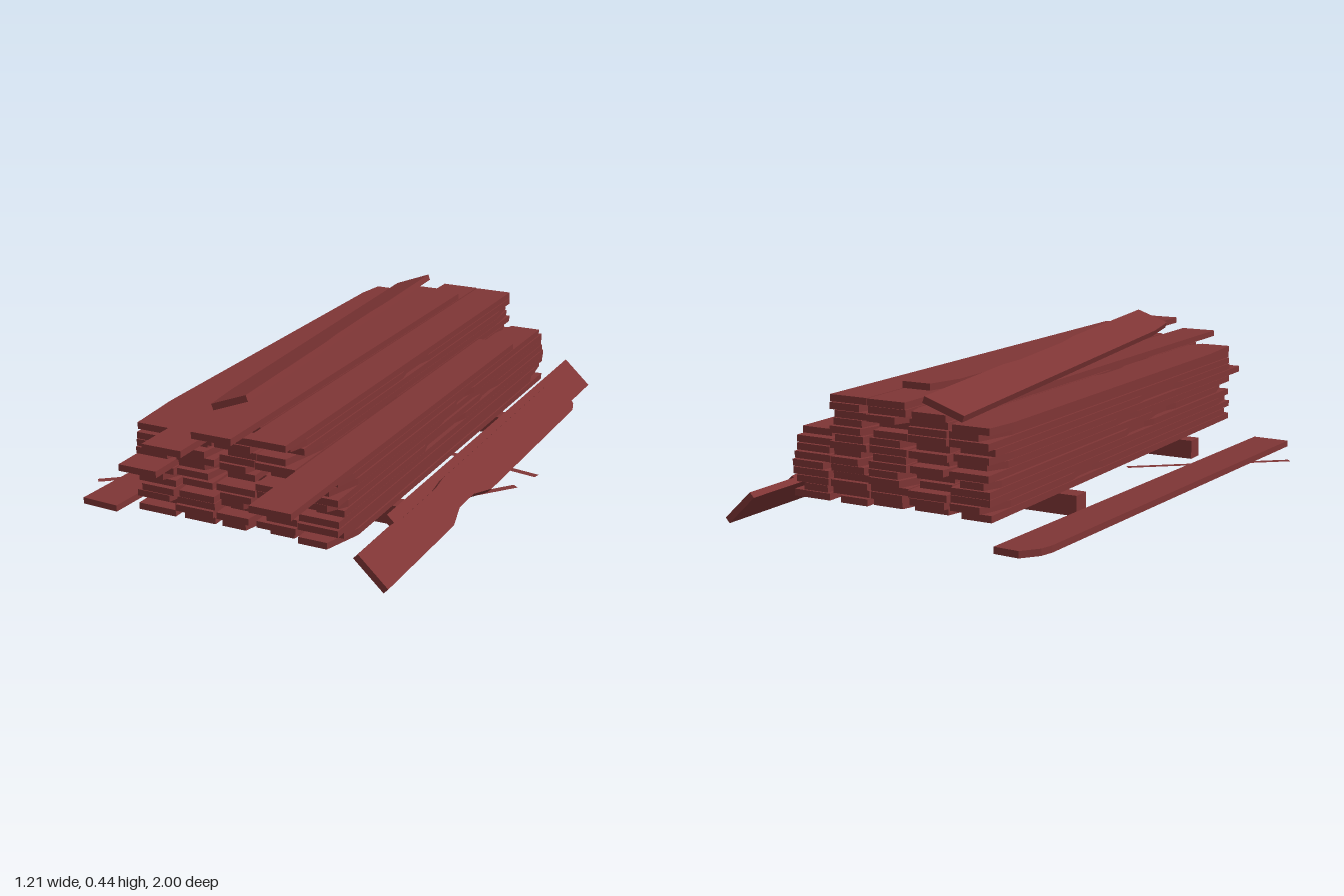
import * as THREE from 'three';

// small seeded generator for wear and uneven ends
function seeded(seed) {
  let s = seed;
  return () => {
    s = (s * 16807) % 2147483647;
    return s / 2147483647;
  };
}

const T = 0.0196; // plank thickness
const PITCH = 0.0216; // layer spacing

export function createModel() {
  const group = new THREE.Group();
  group.name = 'plankPile';
  const rand = seeded(421);

  const wood = new THREE.MeshStandardMaterial({ color: 0x7f3535, flatShading: true });
  wood.name = 'red brown wood';
  const thinWood = new THREE.MeshStandardMaterial({ color: 0x7f3535, side: THREE.DoubleSide });
  thinWood.name = 'red brown splinter';

  // Plank outline: each side is a list of [z, inset] points running back to front
  function plankGeometry(w, len, right = [], left = []) {
    const full = (side) => {
      const pts = side.slice();
      if (!pts.length || pts[0][0] > -len / 2) pts.unshift([-len / 2, 0]);
      if (pts[pts.length - 1][0] < len / 2) pts.push([len / 2, 0]);
      return pts;
    };
    const r = full(right).map(([z, d]) => new THREE.Vector2(w / 2 - d, z));
    const l = full(left).map(([z, d]) => new THREE.Vector2(-w / 2 + d, z)).reverse();
    const geo = new THREE.ExtrudeGeometry(new THREE.Shape([...r, ...l]), { depth: T, bevelEnabled: false });
    geo.translate(0, 0, -T / 2);
    geo.rotateX(Math.PI / 2);
    return geo;
  }

  function add(name, geo, pos, along, across) {
    const mesh = new THREE.Mesh(geo, wood);
    mesh.name = name;
    mesh.position.set(...pos);
    if (along) {
      const z = new THREE.Vector3(...along).normalize();
      const y = z.clone().cross(new THREE.Vector3(...across)).normalize();
      const x = y.clone().cross(z);
      mesh.quaternion.setFromRotationMatrix(new THREE.Matrix4().makeBasis(x, y, z));
    }
    group.add(mesh);
    return mesh;
  }

  // Random worn side: clipped corners and a long shallow bite
  function wornSide(len) {
    const h = len / 2;
    const pts = [];
    if (rand() < 0.3) pts.push([-h, 0.008 + rand() * 0.025], [-h + 0.04 + rand() * 0.1, 0]);
    if (rand() < 0.3) {
      const a = (rand() - 0.6) * 0.7;
      const b = a + 0.15 + rand() * 0.2;
      const d = 0.006 + rand() * 0.012;
      pts.push([a, 0], [a + 0.05, d], [b - 0.05, d], [b, 0]);
    }
    if (rand() < 0.45) pts.push([h - 0.05 - rand() * 0.15, 0], [h, 0.008 + rand() * 0.03]);
    return pts;
  }

  // Stacked columns: centre x, number of layers, back and front of the top plank
  const columns = [
    { x: -0.217, layers: 12, top: [-0.86, 0.72] },
    { x: -0.09, layers: 13, top: [-0.86, 0.9] },
    { x: 0.041, layers: 15, top: [-0.69, 0.86] },
    { x: 0.167, layers: 14, top: [-0.855, 0.79] },
    { x: 0.295, layers: 10, top: [-0.56, 1.0] },
  ];
  columns.forEach(({ x, layers, top }, c) => {
    for (let i = 0; i < layers; i++) {
      let back = -0.862 + (rand() < 0.3 ? rand() * 0.05 : rand() * 0.012);
      let front = 0.745 - (rand() < 0.4 ? rand() * 0.08 : rand() * 0.015);
      let px = x + (rand() - 0.5) * 0.005;
      let w = 0.122;
      if (c === 0 && i === 7) front = 0.83;
      if (i === layers - 1) {
        [back, front] = top;
        px = x;
        if (c === 0) { px = -0.226; w = 0.145; }
      }
      const len = front - back;
      const geo = plankGeometry(w, len, wornSide(len), wornSide(len));
      add('stackedPlank', geo, [px, 0.0655 + T / 2 + i * PITCH, (back + front) / 2]);
    }
  });

  // Cross bearers under the pile
  [[-0.335, 0.395, -0.45], [-0.32, 0.415, 0.365]].forEach(([x0, x1, z]) => {
    add('bearer', new THREE.BoxGeometry(x1 - x0, 0.06, 0.057), [(x0 + x1) / 2, 0.035, z]);
  });

  // Tilted plank lying across the top
  add('topPlank',
    plankGeometry(0.125, 1.53, [[-0.3, 0], [-0.2, 0.008], [0.1, 0.008], [0.2, 0]], [[0.62, 0], [0.765, 0.012]]),
    [-0.082, 0.382, -0.097], [0.122, 0.045, 1.53], [0.115, 0.043, 0]);

  // Loose plank on the ground
  add('groundPlank',
    plankGeometry(0.122, 1.58, [], [[-0.79, 0.045], [-0.74, 0.008], [-0.7, 0]]),
    [-0.425, 0.015, -0.12], [-0.083, 0, 1.57], [1, 0, 0.053]);

  // Two planks leaning on the bearer ends
  const slope = [0.73, -0.68, 0];
  add('innerLeaningPlank', plankGeometry(0.122, 1.53), [0.439, 0.052, -0.235], [0.004, 0, 1.53], slope);
  add('outerLeaningPlank',
    plankGeometry(0.122, 1.56,
      [[-0.78, 0.015], [-0.74, 0], [0.03, 0], [0.13, 0.026], [0.24, 0.026], [0.33, 0]],
      [[-0.78, 0.012], [-0.73, 0], [0.2, 0], [0.27, 0.008], [0.5, 0.008], [0.58, 0]]),
    [0.475, 0.052, 0.015], [0.01, 0, 1.56], slope);

  // Flat splinters on the ground: x and z of both ends
  [[-0.6, 0.49, -0.18, 0.15], [0.6, -0.15, -0.02, -0.26], [0.57, -0.045, 0.18, 0.45]].forEach(([x0, z0, x1, z1]) => {
    const geo = new THREE.PlaneGeometry(Math.hypot(x1 - x0, z1 - z0), 0.024).rotateX(-Math.PI / 2);
    const splinter = add('splinter', geo, [(x0 + x1) / 2, 0, (z0 + z1) / 2]);
    splinter.material = thinWood;
    splinter.rotation.y = -Math.atan2(z1 - z0, x1 - x0);
  });

  return group;
}
